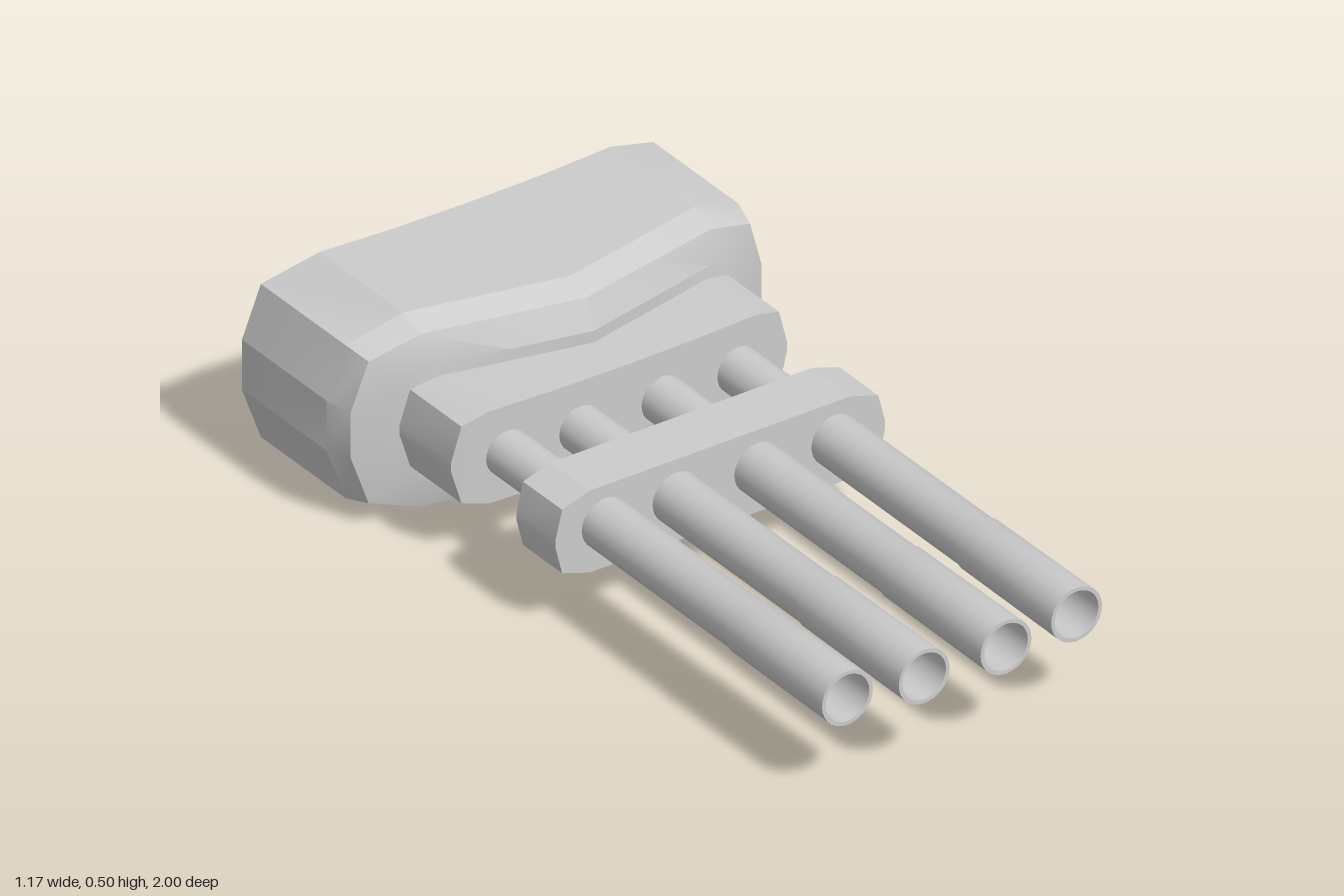
import * as THREE from 'three';
import { toCreasedNormals } from 'three/addons/utils/BufferGeometryUtils.js';

const material = new THREE.MeshStandardMaterial({ color: 0xcccccc });

// Half of a symmetric outline, listed from the centre outwards -> full list of columns
// Each column is [x, half height, z]
function mirrorColumns(half) {
  const left = half.slice(1).reverse().map(([x, h, z]) => [-x, h, z]);
  return [...left, ...half];
}

// Closed solid lofted through outlines, ordered back to front, capped with vertical strips
function loft(name, centreY, halves) {
  const sections = halves.map(mirrorColumns);
  const n = sections[0].length;
  const ring = 2 * n;
  const positions = [];
  const index = [];
  for (const columns of sections) {
    for (const [x, h, z] of columns) positions.push(x, centreY + h, z);
    for (const [x, h, z] of [...columns].reverse()) positions.push(x, centreY - h, z);
  }
  const quad = (a, b, c, d) => index.push(a, b, c, a, c, d);
  for (let s = 0; s < sections.length - 1; s++) {
    for (let i = 0; i < ring; i++) {
      const j = (i + 1) % ring;
      quad(s * ring + i, (s + 1) * ring + i, (s + 1) * ring + j, s * ring + j);
    }
  }
  const front = (sections.length - 1) * ring;
  for (let i = 0; i < n - 1; i++) {
    const bottom = ring - 1 - i;
    quad(i, i + 1, bottom - 1, bottom);
    quad(front + bottom, front + bottom - 1, front + i + 1, front + i);
  }
  const geometry = new THREE.BufferGeometry();
  geometry.setAttribute('position', new THREE.Float32BufferAttribute(positions, 3));
  geometry.setIndex(index);
  const mesh = new THREE.Mesh(toCreasedNormals(geometry, 0.3), material);
  mesh.name = name;
  return mesh;
}

// Hollow stepped barrel along z
function barrel(x, muzzleZ) {
  const profile = [
    [0.058, -0.45], [0.058, -0.05], [0.064, -0.05], [0.065, 0.59], [0.068, 0.6],
    [0.07, muzzleZ], [0.06, muzzleZ], [0.056, muzzleZ - 0.45], [0, muzzleZ - 0.45],
  ].map(([r, z]) => new THREE.Vector2(r, z));
  const geometry = new THREE.LatheGeometry(profile, 28);
  geometry.rotateX(Math.PI / 2);
  const mesh = new THREE.Mesh(toCreasedNormals(geometry, 0.5), material);
  mesh.position.set(x, 0.247, 0);
  return mesh;
}

export function createModel() {
  const group = new THREE.Group();

  // Housing: concave back, bevelled front that comes to a shallow V
  group.add(loft('housing', 0.25, [
    [[0, 0.25, -0.945], [0.2, 0.25, -0.948], [0.4, 0.25, -0.96], [0.54, 0.2, -0.99], [0.585, 0.065, -1]],
    [[0, 0.25, -0.55], [0.2, 0.25, -0.592], [0.4, 0.25, -0.635], [0.54, 0.2, -0.66], [0.585, 0.065, -0.67]],
    [[0, 0.225, -0.485], [0.2, 0.225, -0.527], [0.4, 0.225, -0.568], [0.525, 0.185, -0.592], [0.565, 0.06, -0.605]],
    [[0, 0.15, -0.458], [0.2, 0.15, -0.502], [0.38, 0.15, -0.542], [0.45, 0.12, -0.558], [0.48, 0.05, -0.565]],
  ]));

  // Collar the barrels grow out of, with a slightly bowed front
  const collar = (back) => [
    [0, 0.12, -0.335], [0.2, 0.12, -0.338], [0.37, 0.12, -0.346], [0.437, 0.1, -0.355], [0.462, 0.012, -0.36],
  ].map(([x, h, z]) => [x, h, back ?? z]);
  group.add(loft('collar', 0.25, [collar(-0.58), collar()]));

  // Clamp plate
  const plate = (z) => [[0, 0.107, z], [0.36, 0.107, z], [0.435, 0.083, z], [0.453, 0.012, z]];
  group.add(loft('clampPlate', 0.238, [plate(-0.118), plate(0.034)]));

  // Barrels
  [[-0.317, 0.977], [-0.122, 1], [0.103, 1], [0.315, 0.975]].forEach(([x, z], i) => {
    const mesh = barrel(x, z);
    mesh.name = `barrel${i + 1}`;
    group.add(mesh);
  });

  return group;
}
